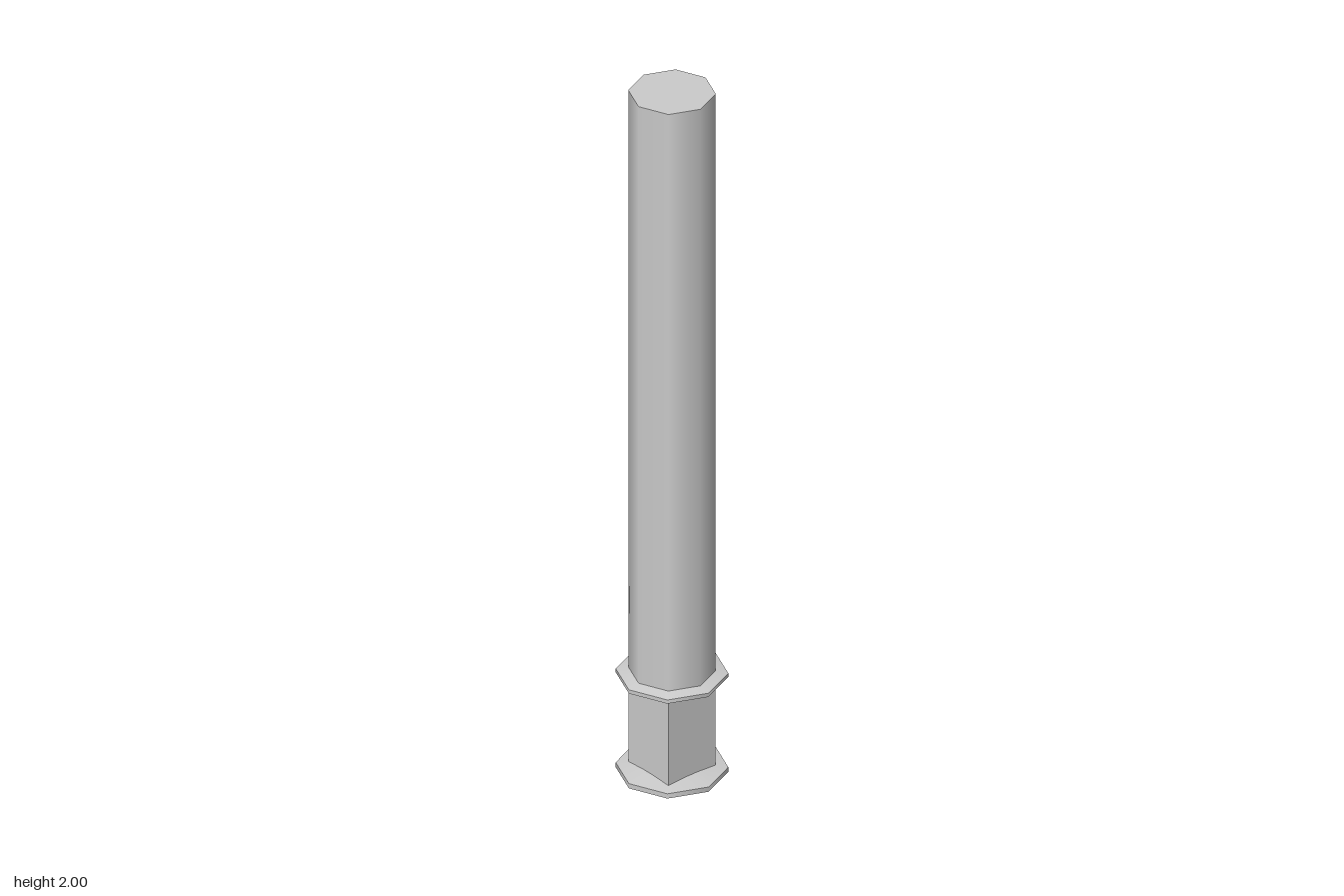
import * as THREE from 'three';

const material = new THREE.MeshStandardMaterial({ color: 0xcccccc });
const SIDES = 8;

export function createModel() {
  const model = new THREE.Group();

  const add = (parent, name, geometry, y) => {
    const mesh = new THREE.Mesh(geometry, material);
    mesh.name = name;
    mesh.position.y = y;
    parent.add(mesh);
  };

  // Eight-sided ring built from [radius, y] steps, closed at both ends
  const addFlange = (name, profile) => {
    const flange = new THREE.Group();
    flange.name = name;
    for (let i = 0; i < profile.length - 1; i++) {
      const [r0, y0] = profile[i];
      const [r1, y1] = profile[i + 1];
      add(flange, name + 'Band' + (i + 1),
        new THREE.CylinderGeometry(r1, r0, y1 - y0, SIDES, 1, true), (y0 + y1) / 2);
    }
    const [rBottom, yBottom] = profile[0];
    const [rTop, yTop] = profile[profile.length - 1];
    const bottom = new THREE.CircleGeometry(rBottom, SIDES).rotateX(Math.PI / 2);
    const top = new THREE.CircleGeometry(rTop, SIDES).rotateX(-Math.PI / 2);
    add(flange, name + 'Bottom', bottom, yBottom);
    add(flange, name + 'Top', top, yTop);
    model.add(flange);
  };

  // Foot plate with a slightly sloped top
  addFlange('basePlate', [[0.143, 0], [0.143, 0.014], [0.085, 0.022]]);

  // Square neck between the two plates
  add(model, 'squareNeck', new THREE.BoxGeometry(0.156, 0.26, 0.156), 0.148);

  // Collar under the shaft
  addFlange('collar', [[0.105, 0.274], [0.143, 0.28], [0.143, 0.291], [0.111, 0.298]]);

  // Long eight-sided shaft, smooth around its sides
  add(model, 'shaft', new THREE.CylinderGeometry(0.111, 0.111, 1.705, SIDES), 1.1475);

  return model;
}
